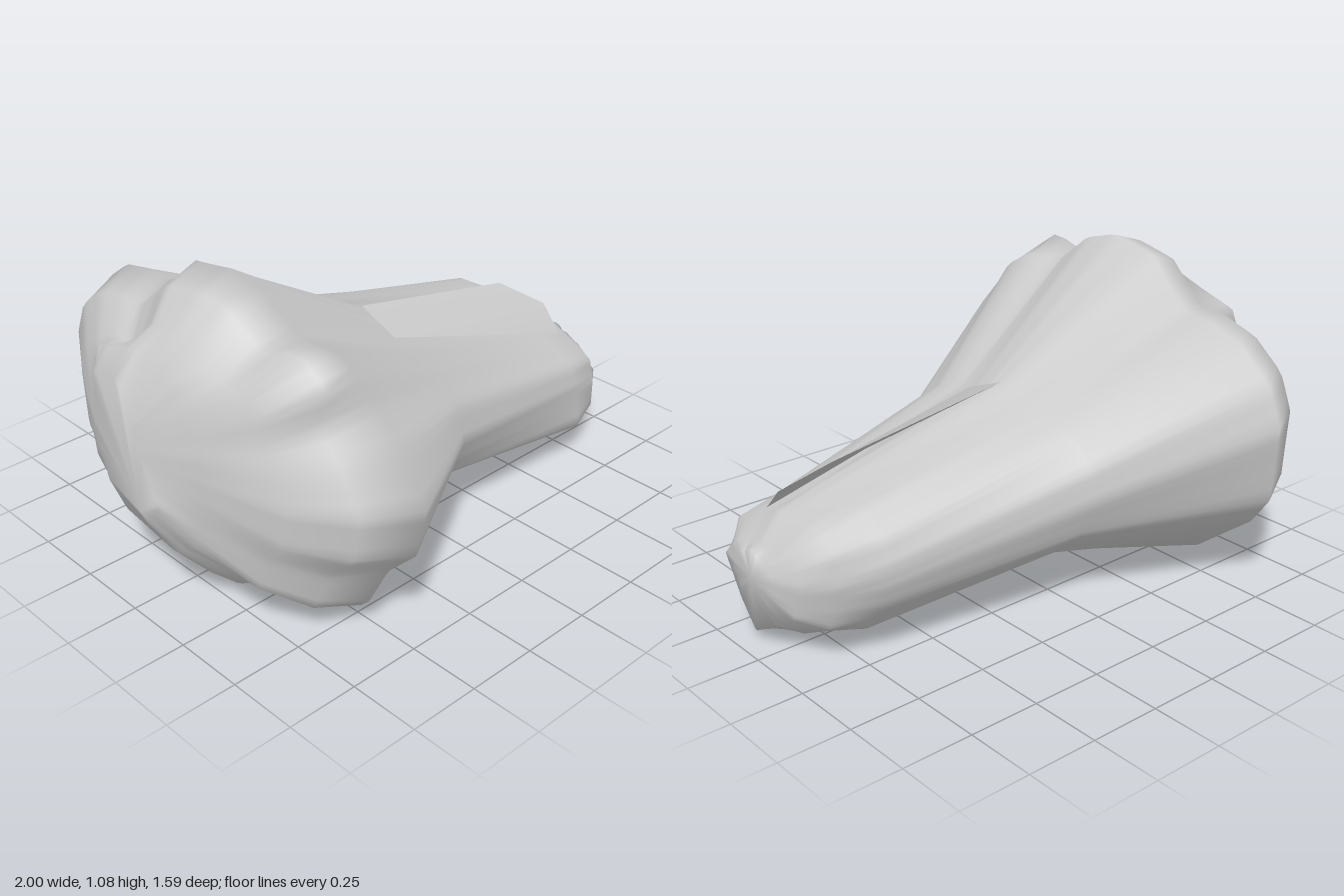
import * as THREE from 'three';

const SIDES = 112;

// Outlines are [z, y] corners, running from the front (+z) over the top.
const flare = [
  [0.8, 0.54], [0.72, 0.68], [0.62, 0.8], [0.57, 0.88], [0.47, 0.94], [0.32, 0.945], [0.2, 1.05],
  [0.07, 1.085], [-0.12, 1.05], [-0.22, 0.96], [-0.32, 0.9], [-0.43, 0.9], [-0.59, 0.86],
  [-0.73, 0.76], [-0.79, 0.63], [-0.77, 0.37], [-0.69, 0.26], [-0.56, 0.16], [-0.42, 0.05],
  [-0.11, 0.002], [0.03, 0.03], [0.2, 0.005], [0.36, 0.1], [0.58, 0.09], [0.66, 0.26], [0.77, 0.37],
];
const waist = [
  [0.46, 0.4], [0.42, 0.52], [0.3, 0.6], [0.12, 0.65], [-0.04, 0.71], [-0.2, 0.69], [-0.36, 0.64],
  [-0.48, 0.54], [-0.5, 0.42], [-0.43, 0.28], [-0.3, 0.17], [-0.1, 0.115], [0.12, 0.11],
  [0.28, 0.15], [0.41, 0.26],
];
const neck = [
  [0.36, 0.28], [0.34, 0.36], [0.24, 0.41], [0.13, 0.45], [0.05, 0.51], [-0.1, 0.52],
  [-0.22, 0.53], [-0.31, 0.45], [-0.32, 0.34], [-0.29, 0.22], [-0.2, 0.1], [-0.05, 0.04],
  [0.12, 0.012], [0.24, 0.05], [0.39, 0.14],
];
const stubOuter = [
  [0.34, 0.25], [0.32, 0.34], [0.2, 0.4], [0.08, 0.45], [-0.12, 0.47], [-0.22, 0.41],
  [-0.24, 0.3], [-0.19, 0.14], [-0.04, 0.06], [0.12, 0.02], [0.22, 0.08], [0.34, 0.15],
];
const stubInner = [
  [0.28, 0.25], [0.2, 0.33], [0.05, 0.37], [-0.1, 0.38], [-0.15, 0.3], [-0.12, 0.18],
  [0, 0.1], [0.12, 0.03], [0.2, 0.12],
];
const endFace = [
  [0.11, 0.42], [0.02, 0.6], [-0.06, 0.79], [-0.18, 0.78], [-0.2, 0.58], [-0.15, 0.4], [0.05, 0.33],
];
const endShoulder = [
  [0.24, 0.42], [0.24, 0.62], [0.14, 0.82], [-0.03, 0.88], [-0.24, 0.82], [-0.33, 0.6],
  [-0.3, 0.4], [-0.16, 0.26], [0.1, 0.22], [0.2, 0.29],
];

// Shrinks an outline about its middle.
const shrink = (pts, sz, sy, cz, cy) =>
  pts.map(([z, y]) => [cz + z * sz, cy + (y - 0.54) * sy]);

// Rim behind the flare, with raised lips along the top
const rim = shrink(flare, 0.88, 0.92, 0, 0.54);
rim[3] = [0.58, 0.92];
rim[4] = [0.48, 0.99];
rim[5] = [0.32, 0.94];
rim[6] = [0.18, 1.03];
rim[7] = [0.07, 1.045];

// Reads an outline at even angles around a centre.
function sample(pts, cz, cy) {
  const out = [];
  for (let j = 0; j < SIDES; j++) {
    const t = (j / SIDES) * Math.PI * 2, dz = Math.cos(t), dy = Math.sin(t);
    let r = 0;
    pts.forEach(([z, y], k) => {
      const [z2, y2] = pts[(k + 1) % pts.length];
      const pz = z - cz, py = y - cy, qz = z2 - cz, qy = y2 - cy;
      if (pz * dy - py * dz >= -1e-9 && dz * qy - dy * qz > 0) {
        r = Math.max(r, (pz * qy - py * qz) / (dz * (qy - py) - dy * (qz - pz)));
      }
    });
    out.push([cz + dz * r, cy + dy * r, t]);
  }
  return out;
}

// Skins a run of rings and closes both ends on a tip.
function loft(rings, startTip, endTip) {
  const pos = [], idx = [];
  for (const { x, bow = 0, pts, c } of rings) {
    for (const [z, y, t] of sample(pts, ...c)) pos.push(x + bow * Math.cos(t) ** 2, y, z);
  }
  const at = (i, j) => i * SIDES + (j % SIDES);
  const last = rings.length - 1, first = rings.length * SIDES;
  pos.push(...startTip, ...endTip);
  for (let j = 0; j < SIDES; j++) {
    for (let i = 0; i < last; i++) {
      idx.push(at(i, j), at(i + 1, j), at(i + 1, j + 1), at(i, j), at(i + 1, j + 1), at(i, j + 1));
    }
    idx.push(first, at(0, j), at(0, j + 1), first + 1, at(last, j + 1), at(last, j));
  }
  const geo = new THREE.BufferGeometry();
  geo.setAttribute('position', new THREE.Float32BufferAttribute(pos, 3));
  geo.setIndex(idx);
  geo.computeVertexNormals();
  return geo;
}

export function createModel() {
  const group = new THREE.Group();
  group.name = 'stump';
  const material = new THREE.MeshStandardMaterial({ color: 0xcccccc, side: THREE.DoubleSide });

  // Flared root end, narrowing through the waist to the broken stub
  const trunk = new THREE.Mesh(loft([
    { x: -0.955, pts: endFace, c: [-0.06, 0.56] },
    { x: -0.895, pts: endShoulder, c: [-0.03, 0.55] },
    { x: -0.81, pts: shrink(flare, 0.64, 0.77, 0.02, 0.54), c: [0.01, 0.54] },
    { x: -0.72, bow: 0.04, pts: rim, c: [0, 0.54] },
    { x: -0.6, bow: 0.09, pts: flare, c: [0, 0.54] },
    { x: 0.02, pts: waist, c: [0, 0.4] },
    { x: 0.72, pts: neck, c: [0.03, 0.28] },
    { x: 0.85, pts: stubOuter, c: [0.05, 0.26] },
    { x: 0.93, pts: stubInner, c: [0.05, 0.25] },
    { x: 0.965, pts: shrink(flare, 0.14, 0.16, 0.05, 0.27), c: [0.05, 0.27] },
  ], [-1, 0.41, 0.08], [1, 0.29, 0.01]), material);
  trunk.name = 'trunk';
  group.add(trunk);

  // Thin sheet of bark lifting off the top and overhanging the stub
  const sheet = new THREE.BufferGeometry();
  sheet.setAttribute('position', new THREE.Float32BufferAttribute([
    0.03, 0.71, -0.04, 0.03, 0.648, 0.12, 0.69, 0.595, 0, 0.83, 0.5, 0.1, 0.82, 0.41, 0.19,
  ], 3));
  sheet.setIndex([0, 3, 2, 0, 1, 3, 1, 4, 3]);
  sheet.computeVertexNormals();
  const bark = new THREE.Mesh(sheet, material);
  bark.name = 'barkSheet';
  group.add(bark);
  return group;
}
